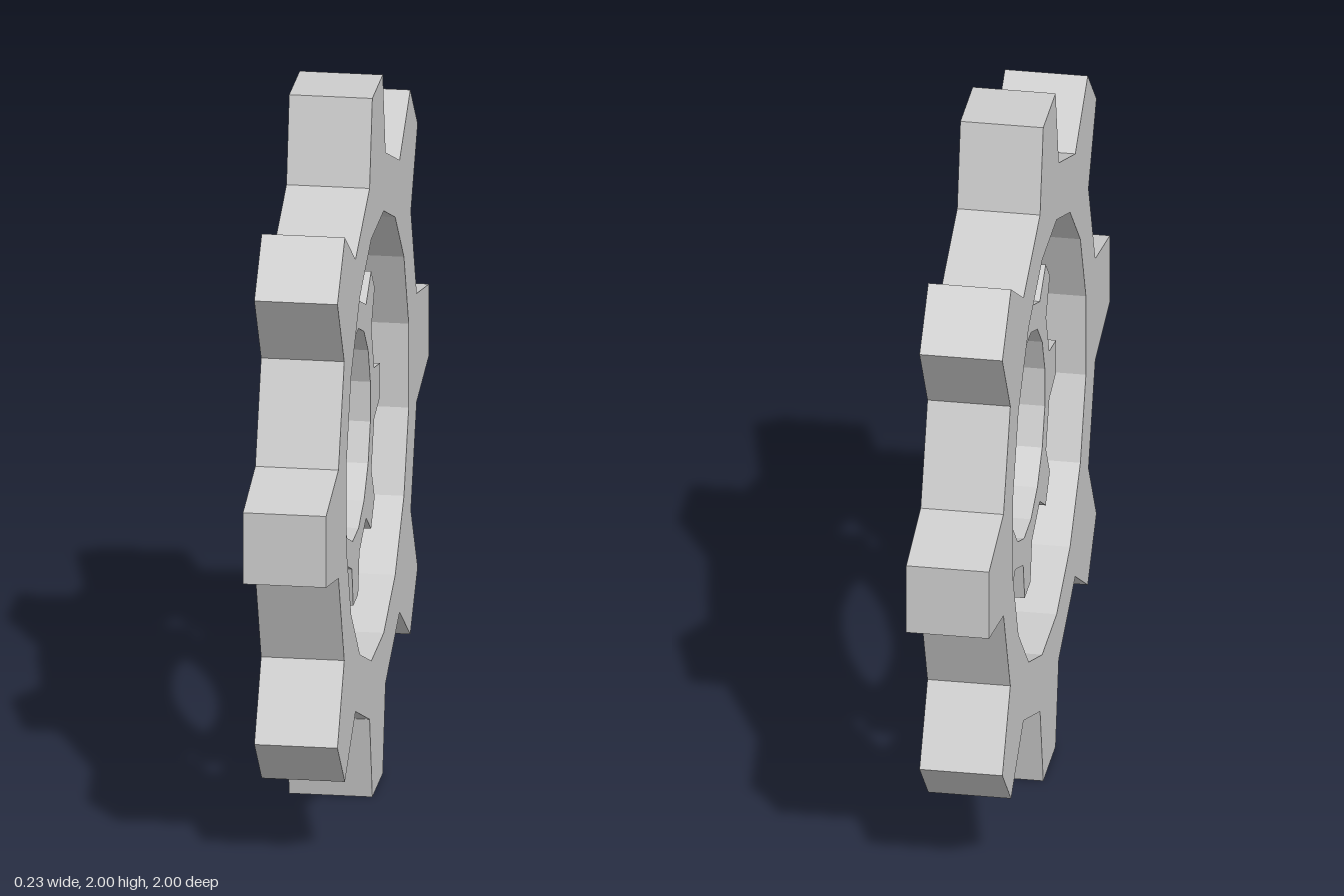
import * as THREE from 'three';

const TEETH = 8;

// Flat gear outline with tapered teeth and a 16-sided bore, unit outer radius
function gearShape() {
  const outline = [];
  for (let i = 0; i < TEETH; i++) {
    const a = (i / TEETH) * Math.PI * 2;
    // [distance along the tooth axis, offset across it]
    for (const [r, w] of [[0.76, -0.155], [1, -0.102], [1, 0.102], [0.76, 0.155]]) {
      outline.push(new THREE.Vector2(
        r * Math.cos(a) - w * Math.sin(a),
        r * Math.sin(a) + w * Math.cos(a)
      ));
    }
  }
  const bore = [];
  for (let i = 0; i < TEETH * 2; i++) {
    const a = ((i + 0.5) / (TEETH * 2)) * Math.PI * 2;
    bore.push(new THREE.Vector2(0.616 * Math.cos(a), 0.616 * Math.sin(a)));
  }
  const shape = new THREE.Shape(outline);
  shape.holes.push(new THREE.Path(bore));
  return shape;
}

export function createModel() {
  const group = new THREE.Group();
  group.name = 'gears';

  const steel = new THREE.MeshStandardMaterial({ color: 0xcccccc });
  steel.name = 'light grey';

  // Gear plate standing upright with its axle along x
  const depth = 0.228;
  const geometry = new THREE.ExtrudeGeometry(gearShape(), { depth, bevelEnabled: false });
  geometry.translate(0, 0, -depth / 2);
  geometry.rotateY(Math.PI / 2);

  // Large ring gear and a smaller copy inside it
  for (const [name, scale] of [['outerGear', 1], ['innerGear', 0.473]]) {
    const gear = new THREE.Mesh(geometry, steel);
    gear.name = name;
    gear.scale.setScalar(scale);
    gear.position.y = 1;
    group.add(gear);
  }
  return group;
}
